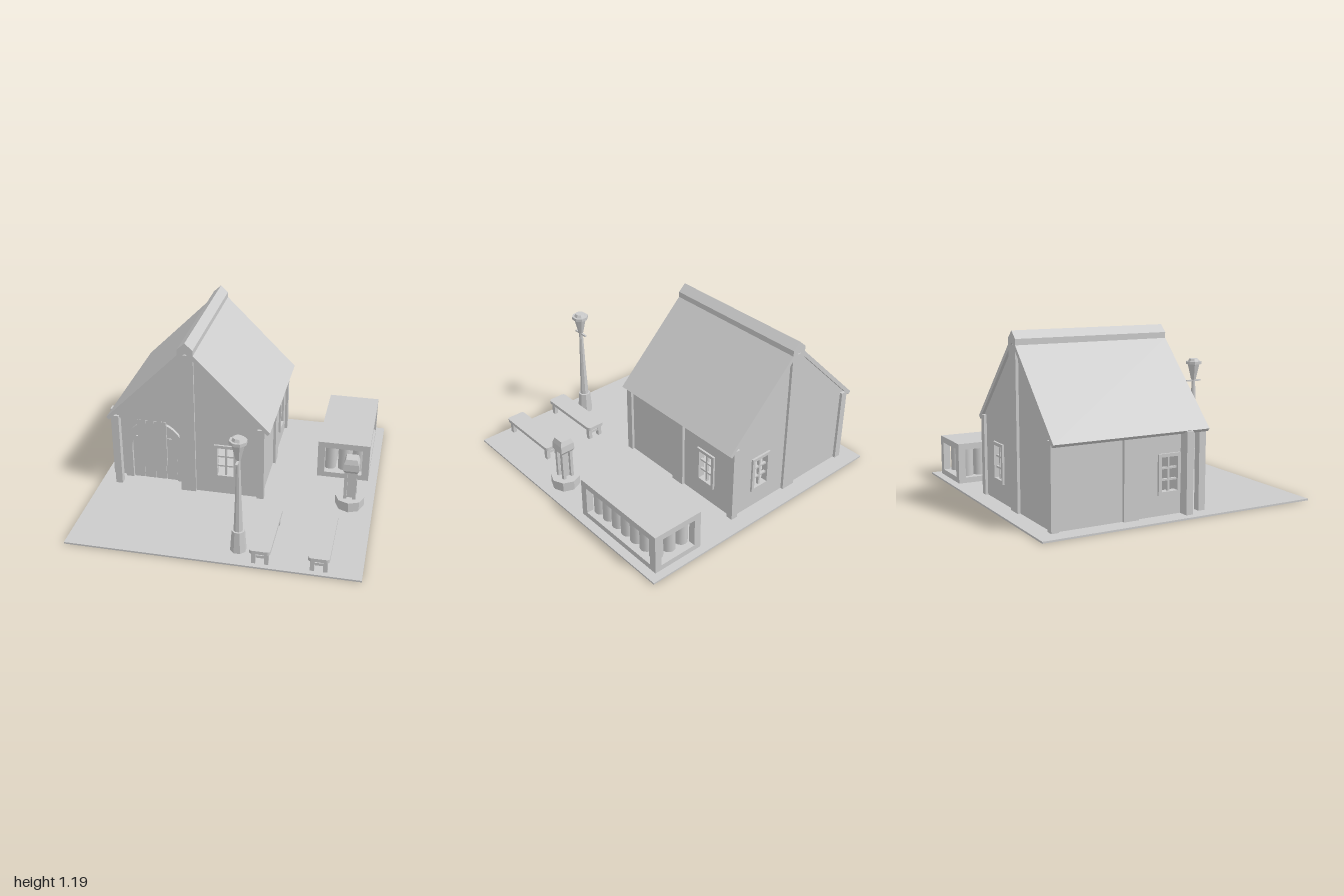
import * as THREE from 'three';

const grey = new THREE.MeshStandardMaterial({ color: 0xcccccc, side: THREE.DoubleSide });
const flat = new THREE.MeshStandardMaterial({ color: 0xcccccc, flatShading: true });
const CX = -0.335, G = 0.012; // house centre line, top of the ground slab

function add(parent, name, geo, x = 0, y = 0, z = 0, mat = grey) {
  const m = new THREE.Mesh(geo, mat);
  m.name = name;
  m.position.set(x, y, z);
  parent.add(m);
  return m;
}

// box given by its limits
function box(parent, name, x0, x1, y0, y1, z0, z1) {
  return add(parent, name, new THREE.BoxGeometry(x1 - x0, y1 - y0, z1 - z0),
    (x0 + x1) / 2, (y0 + y1) / 2, (z0 + z1) / 2);
}

const poly = pts => new THREE.Shape(pts.map(p => new THREE.Vector2(...p)));
const extrude = (shape, depth) =>
  new THREE.ExtrudeGeometry(shape, { depth, bevelEnabled: false, curveSegments: 12 });
const rect = (cx, cy, w, h) => [[cx - w / 2, cy - h / 2], [cx + w / 2, cy - h / 2],
  [cx + w / 2, cy + h / 2], [cx - w / 2, cy + h / 2]];

function withHole(pts, hole) {
  const s = poly(pts);
  s.holes.push(new THREE.Path(hole.map(p => new THREE.Vector2(...p))));
  return s;
}

const WIN_Y = 0.282, WIN_W = 0.12, WIN_H = 0.225;

// framed window with glazing bars, facing +z before turning
function windowFrame(parent, x, z, turn) {
  const w = new THREE.Group();
  w.name = 'window';
  add(w, 'windowFrame', extrude(withHole(rect(0, 0, 0.165, 0.27), rect(0, 0, WIN_W, WIN_H)), 0.05), 0, 0, -0.035);
  box(w, 'glazingBar', -0.007, 0.007, -WIN_H / 2, WIN_H / 2, -0.02, 0);
  for (const y of [-0.038, 0.038]) box(w, 'glazingBar', -WIN_W / 2, WIN_W / 2, y - 0.006, y + 0.006, -0.02, 0);
  w.position.set(x, WIN_Y, z);
  w.rotation.y = turn;
  parent.add(w);
}

function house() {
  const h = new THREE.Group();
  h.name = 'house';
  const hole = x => rect(x, WIN_Y, WIN_W, WIN_H);

  // gable walls; the front one leaves room for the porch
  const front = [[0, G], [0.535, G], [0.535, 0.58], [0, 1.115], [-0.535, 0.58], [-0.535, 0.56], [0, 0.56]];
  const back = [[-0.535, G], [0.535, G], [0.535, 0.58], [0, 1.115], [-0.535, 0.58]];
  add(h, 'frontWall', extrude(withHole(front, hole(0.275)), 0.03), CX, 0, 0.17);
  add(h, 'backWall', extrude(withHole(back, hole(0.285)), 0.03), CX, 0, -0.87);
  windowFrame(h, CX + 0.275, 0.2, 0);
  windowFrame(h, CX + 0.285, -0.87, Math.PI);

  // side walls, drawn along z and turned into place
  const side = (name, z0, z1, zWin, x) => {
    const w = (z1 - z0) / 2, mid = (z0 + z1) / 2;
    const outline = [[-z1, G], [-z0, G], [-z0, 0.58], [-z1, 0.58]];
    const m = add(h, name, extrude(withHole(outline, hole(-zWin)), 0.03), x, 0, 0);
    m.rotation.y = Math.PI / 2;
  };
  side('rightWall', -0.87, 0.2, -0.61, 0.17);
  side('leftWall', -0.87, 0.06, -0.05, -0.87);
  windowFrame(h, 0.2, -0.61, Math.PI / 2);
  windowFrame(h, -0.87, -0.05, -Math.PI / 2);

  // timber posts
  for (const x of [-0.89, 0.17]) {
    for (const z of [-0.89, 0.17]) box(h, 'cornerPost', x, x + 0.05, G, 0.575, z, z + 0.05);
    box(h, 'sidePost', x, x + 0.05, G, 0.575, -0.388, -0.282);
  }
  for (const z of [-0.89, 0.17]) box(h, 'gablePost', CX - 0.055, CX + 0.055, G, 1.1, z, z + 0.05);

  // roof with ridge cap
  const half = [[0.575, 0.54], [0.595, 0.56], [0.055, 1.1], [0.055, 1.14]];
  const roof = [[0, 1.115], ...half, [0, 1.19], ...half.map(([x, y]) => [-x, y]).reverse()];
  add(h, 'roof', extrude(poly(roof), 1.11), CX, 0, -0.89);

  // porch
  box(h, 'porchWall', -0.945, CX, G, 0.557, 0.04, 0.09);
  box(h, 'porchSide', CX - 0.02, CX, G, 0.557, 0.09, 0.19);
  box(h, 'porchCeiling', -0.87, CX, 0.55, 0.565, 0.06, 0.19);

  // arched door
  const DX = -0.615, R = 0.225, r = 0.17, Y = 0.27;
  const arch = new THREE.Shape();
  arch.moveTo(R, G);
  arch.lineTo(R, Y);
  arch.absarc(0, Y, R, 0, Math.PI, false);
  arch.lineTo(-R, G);
  arch.lineTo(-r, G);
  arch.lineTo(-r, Y);
  arch.absarc(0, Y, r, Math.PI, 0, true);
  arch.lineTo(r, G);
  add(h, 'doorArch', extrude(arch, 0.03), DX, 0, 0.085);
  for (let i = 0; i < 4; i++) {
    const x = -0.126 + i * 0.084, top = Y + Math.sqrt(r * r - (Math.abs(x) + 0.02) ** 2);
    box(h, 'doorPlank', DX + x - 0.039, DX + x + 0.039, G, top, 0.085, 0.1);
  }

  // hanging banner
  const banner = [[-0.107, 0.53], [-0.107, 0.165], [0, 0.098], [0.107, 0.165], [0.107, 0.53]];
  add(h, 'banner', extrude(poly(banner), 0.015), DX, 0, 0.145);
  add(h, 'bannerRod', new THREE.CapsuleGeometry(0.012, 0.26, 4, 10), DX, 0.542, 0.152).rotation.z = Math.PI / 2;
  for (const x of [-0.06, 0, 0.06]) box(h, 'bannerLoop', DX + x - 0.017, DX + x + 0.017, 0.505, 0.553, 0.138, 0.168);
  return h;
}

function lampPost() {
  const g = new THREE.Group();
  g.name = 'lampPost';
  // stacked octagonal sections: top radius, bottom radius, y from, y to
  const parts = [
    ['lampBase', 0.045, 0.056, G, 0.17], ['lampShaft', 0.022, 0.032, 0.17, 0.42],
    ['lampShaft', 0.014, 0.022, 0.42, 0.71], ['lampLantern', 0.046, 0.018, 0.71, 0.83],
    ['lampCap', 0.06, 0.06, 0.83, 0.852], ['lampTop', 0.034, 0.044, 0.852, 0.872]];
  for (const [name, a, b, y0, y1] of parts) {
    const geo = new THREE.CylinderGeometry(a, b, y1 - y0, 8);
    geo.rotateY(Math.PI / 8);
    add(g, name, geo, 0, (y0 + y1) / 2, 0, flat);
  }
  box(g, 'lampCrossbar', -0.007, 0.007, 0.697, 0.708, -0.062, 0.062);
  g.position.set(0.165, 0, 0.835);
  return g;
}

function pillar() {
  const g = new THREE.Group();
  g.name = 'stonePillar';
  add(g, 'pillarFoot', new THREE.CylinderGeometry(0.095, 0.095, 0.02, 8), 0, 0.02, 0, flat);
  add(g, 'pillarBase', new THREE.CylinderGeometry(0.103, 0.103, 0.065, 8), 0, 0.0575, 0, flat);
  box(g, 'pillarCore', -0.02, 0.02, 0.08, 0.33, -0.02, 0.02);
  for (const x of [-0.032, 0.032]) for (const z of [-0.032, 0.032])
    box(g, 'pillarPost', x - 0.011, x + 0.011, 0.08, 0.33, z - 0.011, z + 0.011);
  // square head, tapered above and below
  const heads = [[0.055, 0.043, 0.305, 0.325], [0.052, 0.055, 0.325, 0.375], [0.04, 0.052, 0.375, 0.41]];
  for (const [a, b, y0, y1] of heads) {
    const geo = new THREE.CylinderGeometry(a * Math.SQRT2, b * Math.SQRT2, y1 - y0, 4);
    geo.rotateY(Math.PI / 4);
    add(g, 'pillarHead', geo, 0, (y0 + y1) / 2, 0, flat);
  }
  g.position.set(0.833, 0, 0.165);
  return g;
}

function bench(x) {
  const g = new THREE.Group();
  g.name = 'bench';
  // seat with rounded corners
  const w = 0.07, l = 0.26, c = 0.022, s = new THREE.Shape();
  s.absarc(w - c, l - c, c, 0, Math.PI / 2);
  s.absarc(c - w, l - c, c, Math.PI / 2, Math.PI);
  s.absarc(c - w, c - l, c, Math.PI, Math.PI * 1.5);
  s.absarc(w - c, c - l, c, Math.PI * 1.5, Math.PI * 2);
  add(g, 'benchSeat', extrude(s, 0.025), 0, 0.1, 0).rotation.x = -Math.PI / 2;
  for (const z of [-0.225, 0.225]) {
    for (const lx of [-0.043, 0.043]) box(g, 'benchLeg', lx - 0.014, lx + 0.014, G, 0.1, z - 0.016, z + 0.016);
    box(g, 'benchRail', -0.043, 0.043, 0.055, 0.075, z - 0.01, z + 0.01);
  }
  box(g, 'benchStretcher', -0.01, 0.01, 0.055, 0.075, -0.225, 0.225);
  g.position.set(x, 0, 0.722);
  return g;
}

function storageRack() {
  const g = new THREE.Group();
  g.name = 'storageRack';
  const x0 = 0.555, x1 = 0.937, z0 = -0.942, z1 = -0.178;
  box(g, 'rackTop', x0, x1, 0.26, 0.305, z0, z1);
  box(g, 'rackFloor', x0, x1, G, 0.052, z0, z1);
  for (const x of [x0, x1 - 0.052]) for (const z of [z0, z1 - 0.052])
    box(g, 'rackPost', x, x + 0.052, 0.052, 0.26, z, z + 0.052);
  // rows of upright drums
  for (let i = 0; i < 7; i++) for (let j = 0; j < 3; j++)
    add(g, 'drum', new THREE.CylinderGeometry(0.046, 0.046, 0.208, 12),
      0.746 + (j - 1) * 0.105, 0.156, -0.56 + (i - 3) * 0.096);
  return g;
}

export function createModel() {
  const model = new THREE.Group();
  model.name = 'village house';
  box(model, 'ground', -1, 1, 0, G, -1, 1);
  model.add(house(), lampPost(), pillar(), bench(0.333), bench(0.718), storageRack());
  return model;
}
